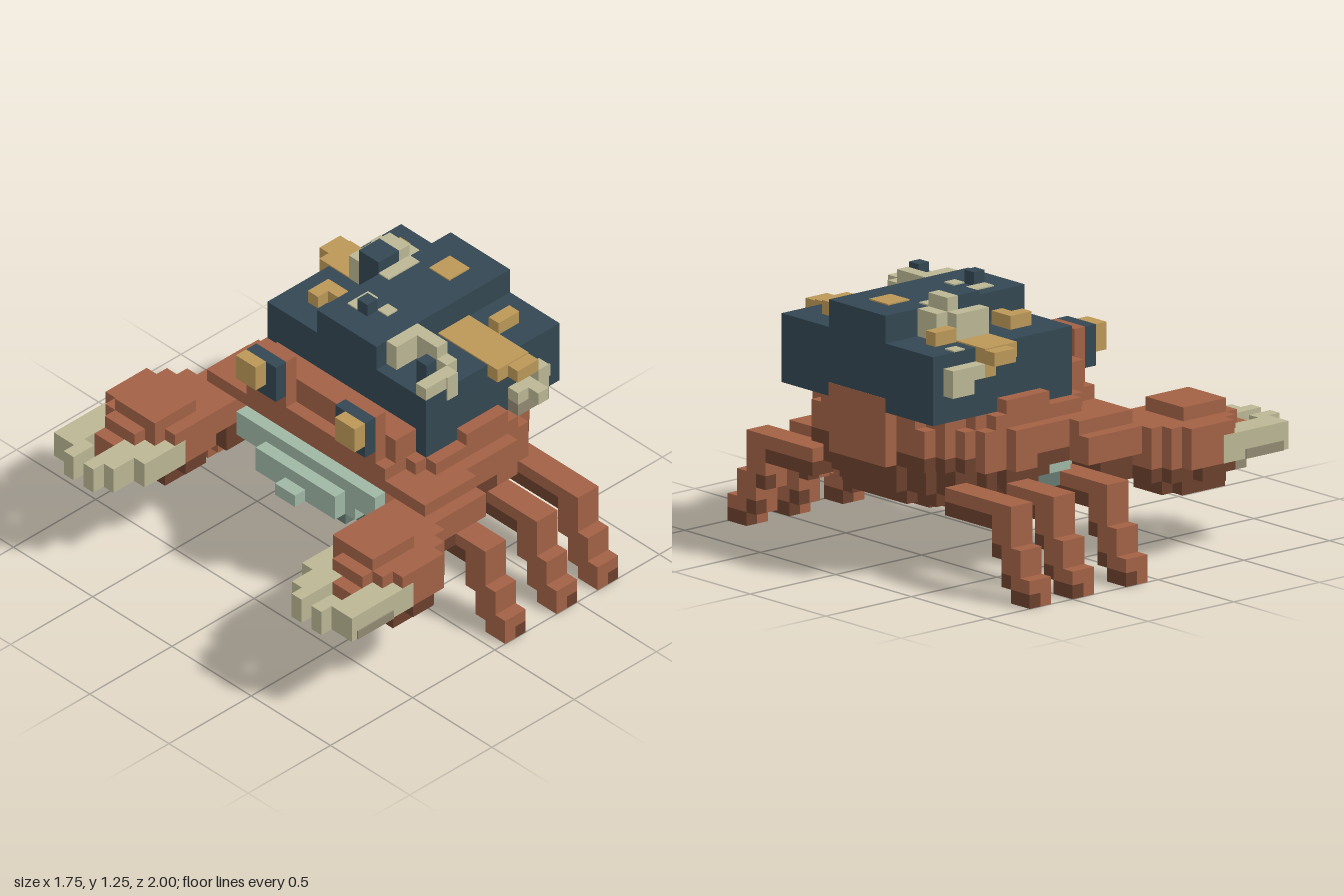
import * as THREE from 'three';
import { mergeGeometries } from 'three/addons/utils/BufferGeometryUtils.js';

const V = 1 / 16; // size of one block
const paint = (name, color) => {
  const m = new THREE.MeshStandardMaterial({ color });
  m.name = name;
  return m;
};

export function createModel() {
  const rust = paint('rust', 0xa26145), brown = paint('dark brown', 0x6b402d);
  const mint = paint('mint', 0x9fb7a5), darkMint = paint('dark mint', 0x667a71);
  const cream = paint('cream', 0xbab694), darkCream = paint('dark cream', 0x918973);
  const gold = paint('gold', 0xbb9757), navy = paint('navy', 0x334752);

  const crab = new THREE.Group();
  crab.name = 'crab';
  const section = (name) => {
    const g = new THREE.Group();
    g.name = name;
    crab.add(g);
    return g;
  };

  // Block geometry from ranges in block units
  const block = (x0, x1, y0, y1, z0, z1) => new THREE.BoxGeometry(
    (x1 - x0) * V, (y1 - y0) * V, Math.abs(z1 - z0) * V)
    .translate((x0 + x1) / 2 * V, (y0 + y1) / 2 * V, (z0 + z1) / 2 * V);
  const add = (parent, name, mat, geo) => {
    const mesh = new THREE.Mesh(geo, mat);
    mesh.name = name;
    parent.add(mesh);
  };
  const box = (parent, name, mat, ...r) => add(parent, name, mat, block(...r));

  // Stepped oval slab, one block wide per row, limited to xa..xb
  const oval = (parent, name, mat, y0, y1, cx, rx, cz, rz, xa = -99, xb = 99) => {
    const rows = [];
    for (let x = Math.max(xa, Math.floor(cx - rx)); x < Math.min(xb, Math.ceil(cx + rx)); x++) {
      const w = rz * Math.sqrt(Math.max(0, 1 - ((x + 0.5 - cx) / rx) ** 2));
      const a = Math.round(cz - w), b = Math.round(cz + w);
      if (b > a) rows.push(block(x, x + 1, y0, y1, a, b));
    }
    add(parent, name, mat, mergeGeometries(rows));
  };

  // Body: belly and lower flank, mint in front and brown behind
  const body = section('body');
  const layer = (name, mat, y, rx, rz, xa, xb) => oval(body, name, mat, y, y + 1, 5, rx, 0, rz, xa, xb);
  layer('bellyPlate', brown, 4, 4, 4.3);
  for (let i = 0; i < 3; i++) {
    const split = i < 2 ? 5 : 4;
    layer('lowerFace', i < 2 ? darkMint : mint, 5 + i, 7 + i, Math.min(8 + i, 9), -9, split);
    layer('lowerFlank', brown, 5 + i, Math.min(7 + i, 8), Math.min(8 + i, 9), split);
  }
  box(body, 'mouth', mint, -5, -4, 7, 8, -1, 1);
  box(body, 'mouthRidge', mint, -4, -3, 7, 9, -4, 4);
  box(body, 'browRidge', mint, -3, -2, 8, 10, -7, 7);
  // Mottled band, then the rust upper body
  for (let x = -2; x < 14; x++) {
    layer('flankBand', x % 7 > 2 && x % 7 < 6 ? brown : rust, 8, 9, 10, x, x + 1);
  }
  for (const y of [9, 10]) layer('upperFlank', rust, y, 9, 10, -2);
  layer('shoulder', rust, 11, 9, 9.4, -2);
  layer('sideBump', rust, 12, 9, 9, 4, 8);
  box(body, 'backBump', rust, 13, 14.03, 12, 13, -3, 3);
  box(body, 'rim', rust, -2, 1, 9, 12, -7, 7);
  box(body, 'rimTop', rust, -1, 1, 12, 14, -7, 7);

  // Shell
  const shell = section('shell');
  box(shell, 'shellBase', navy, 1, 14, 12, 17, -8, 8);
  box(shell, 'shellTop', navy, 1, 14, 17, 19, -3, 3);

  // Paired eyes, legs and claws
  const legBottom = [3, 1, 0, 0], legTop = [7, 7, 4, 2];
  for (const s of [1, -1]) {
    const side = s > 0 ? 'left' : 'right';
    const eye = section(side + 'Eye');
    box(eye, 'eyeStalk', rust, -2, -1, 11, 16, 3 * s, 6 * s);
    box(eye, 'eyeball', navy, -3, -2, 13, 16, 3 * s, 6 * s);
    box(eye, 'pupil', gold, -4, -3, 14, 16, 4 * s, 6 * s);

    for (const x of [1, 6, 10]) {
      const leg = section(side + 'Leg');
      box(leg, 'thigh', rust, x, x + 2, 6, 7, 7 * s, 12 * s);
      box(leg, 'thighUnderside', brown, x, x + 2, 5, 6, 7 * s, 12 * s);
      // Shin steps down and outward, dark at the lower back
      legBottom.forEach((y, i) => {
        const z = (12 + i) * s;
        box(leg, 'shinFront', rust, x, x + 1, y, legTop[i], z, z + s);
        box(leg, 'shinBack', rust, x + 1, x + 2, y + 1, legTop[i], z, z + s);
        box(leg, 'shinShade', brown, x + 1, x + 2, y, y + 1, z, z + s);
      });
    }

    const claw = section(side + 'Claw');
    box(claw, 'armUnderside', brown, -3, 1, 6, 8, 8 * s, 11 * s);
    box(claw, 'arm', rust, -4, 3, 8, 10, 8 * s, 12 * s);
    box(claw, 'upperArm', rust, -2, 3, 10, 11, 7 * s, 11 * s);
    const cz = 11.5 * s;
    oval(claw, 'palmBottom', brown, 5, 6, -6, 3, cz, 2.6);
    oval(claw, 'palmUnderside', brown, 6, 7, -6, 4, cz, 3.2);
    oval(claw, 'palm', rust, 7, 9, -6.5, 4.5, cz, 3.5);
    oval(claw, 'palmTop', rust, 9, 10, -6, 4, cz, 3.5);
    box(claw, 'palmCap', rust, -9, -5, 10, 11, 9 * s, 13 * s);
    // Pincers
    const finger = (name, x0, x1, z0, z1) => box(claw, name, cream, x0, x1, 7, 9.03, z0 * s, z1 * s);
    finger('outerFinger', -13, -7, 13, 15.05);
    finger('outerTip', -14, -12, 12, 13);
    finger('innerTip', -14, -10, 10, 11);
    finger('innerFinger', -13, -8, 9, 10);
    finger('innerEdge', -11, -7, 7.95, 9);
    box(claw, 'outerShade', darkCream, -12.5, -9, 7, 7.7, 15.05 * s, 15.15 * s);
    box(claw, 'fingerKnuckle', darkCream, -10, -9, 6, 7, 13 * s, 14 * s);

    // Gold growth draped over each shell edge
    box(shell, 'goldPatch', gold, 7, 10, 17, 17.1, (s > 0 ? 3 : 6) * s, 8 * s);
    box(shell, 'goldDrape', gold, 7, 10, 16, 17.1, 8 * s, 9 * s);
    box(shell, 'goldLip', gold, 8, 10, 16, 17, 9 * s, 10 * s);
    box(shell, 'goldDrip', gold, 9, 10, 15, 16, 8 * s, 9 * s);
    box(shell, 'goldStud', gold, 10, 12, 17, 18, 5 * s, 6 * s);
  }

  // Growths: a stud is placed by its lowest corner, then length, depth, height
  const growths = section('shellGrowths');
  const stud = (name, mat, x, y, z, l = 1, d = 1, h = 1) =>
    box(growths, name, mat, x, x + l, y, y + h, z, z + d);
  const spot = (name, mat, x, y, z, l = 1, d = 1) => stud(name, mat, x, y, z, l, d, 0.1);

  // Left front barnacle ring
  stud('barnacle', cream, 2, 17, 3, 3, 1, 2);
  stud('barnacle', cream, 4, 17, 4, 1, 2, 2);
  stud('barnacle', cream, 4, 17, 6);
  stud('barnacle', cream, 1, 17, 7, 3);
  stud('barnacleDrip', cream, 3, 16, 8, 1, 0.1, 2);
  stud('barnacleCore', navy, 2, 17, 6, 1, 1, 2);
  // Crown
  spot('crownSpot', cream, 3, 19, -2, 2);
  spot('crownSpot', cream, 4, 19, 0);
  spot('crownPatch', gold, 10, 19, -1, 2, 2);
  stud('crownStud', navy, 3, 19, -1);
  // Right barnacle cluster
  spot('barnacle', cream, 7, 19, -3, 3);
  stud('barnacle', cream, 9, 17, -5, 2, 2, 2);
  stud('barnacle', cream, 9, 19, -5, 1, 2);
  stud('barnacleCore', navy, 7, 17, -5, 2, 2, 3);
  stud('barnacle', cream, 7, 17, -6, 3, 1, 2);
  stud('goldCorner', gold, 3, 17, -6, 2);
  stud('goldCorner', gold, 4, 17, -5);
  // Flank barnacles
  stud('leftBarnacle', darkCream, 9, 12, 8, 3);
  stud('leftBarnacle', cream, 9, 13, 8, 3);
  stud('leftBarnacle', cream, 11, 14, 8);
  stud('leftBarnacle', cream, 10, 13, 9);
  stud('leftSpot', cream, 12, 13, 8, 1, 0.1);
  stud('goldRoot', brown, 8, 15, 8, 1, 0.1);
  stud('rightBarnacle', cream, 10, 15, -9, 3);
  stud('rightBarnacle', cream, 11, 14, -9, 2);
  spot('rightSpot', cream, 11, 17, -8);

  return crab;
}
